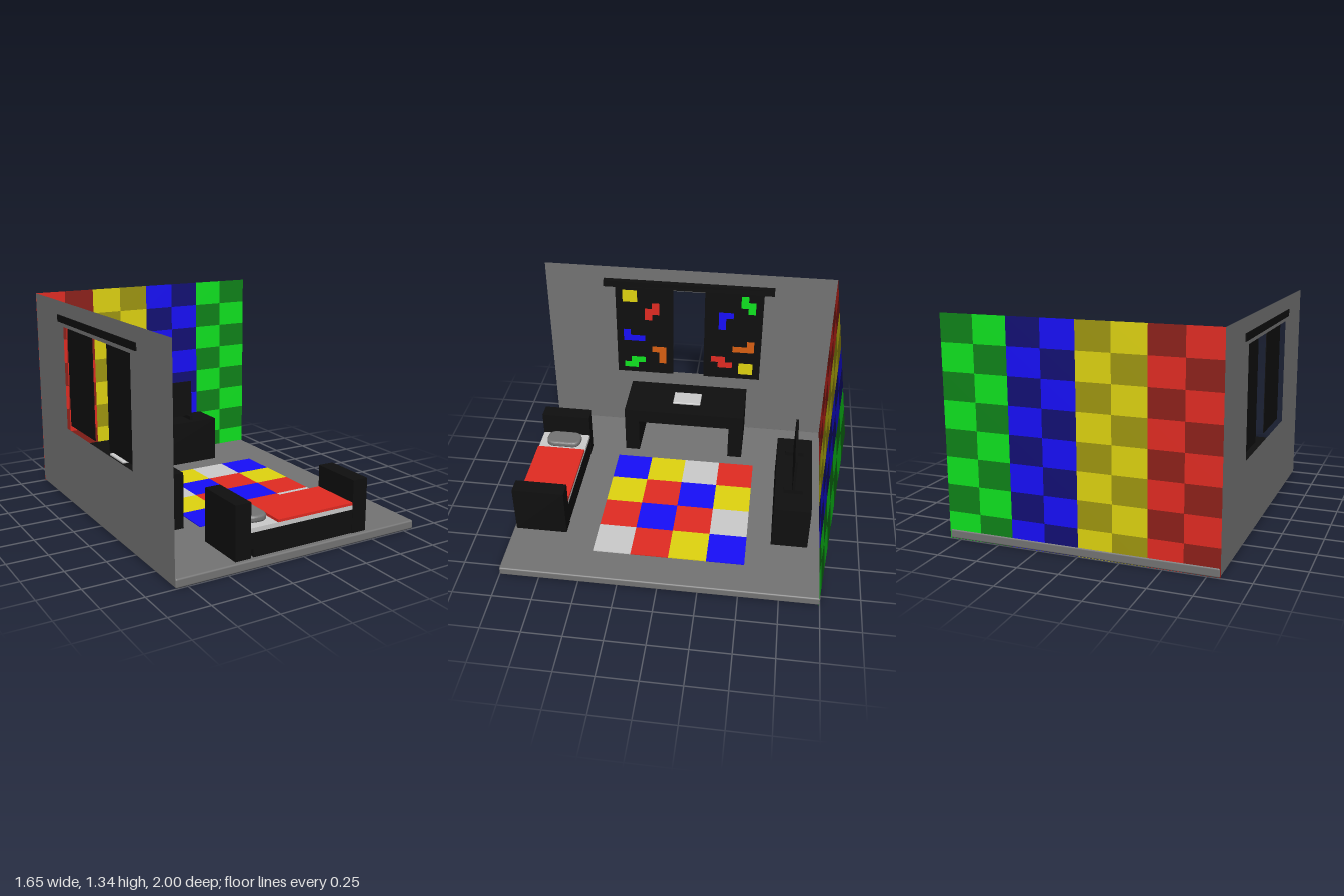
import * as THREE from 'three';
import { RoundedBoxGeometry } from 'three/addons/geometries/RoundedBoxGeometry.js';

const mat = (color) => new THREE.MeshStandardMaterial({ color, side: THREE.DoubleSide });
const M = {
  R: mat(0xe32b22), r: mat(0x8f2019), Y: mat(0xe0d40f), y: mat(0xa0970f),
  B: mat(0x170efa), b: mat(0x120f75), G: mat(0x0fe520), g: mat(0x0f8419),
  O: mat(0xd95f12), W: mat(0xcccccc), D: mat(0x747474), K: mat(0x0f0f0f),
};

function add(parent, name, geometry, key) {
  const mesh = new THREE.Mesh(geometry, M[key]);
  mesh.name = name;
  parent.add(mesh);
  return mesh;
}

// Box given by its extents on each axis
function box(parent, name, key, [x0, x1], [y0, y1], [z0, z1], radius = 0) {
  const size = [x1 - x0, y1 - y0, z1 - z0];
  const geo = radius ? new RoundedBoxGeometry(...size, 4, radius) : new THREE.BoxGeometry(...size);
  const mesh = add(parent, name, geo, key);
  mesh.position.set((x0 + x1) / 2, (y0 + y1) / 2, (z0 + z1) / 2);
  return mesh;
}

function group(parent, name) {
  const g = new THREE.Group();
  g.name = name;
  parent.add(g);
  return g;
}

export function createModel() {
  const room = new THREE.Group();
  room.name = 'bedroom';
  box(room, 'floor', 'D', [-0.822, 0.822], [0, 0.055], [-1, 1], 0.01);

  // Back wall: 8 x 8 checkered panels in four colours
  const backWall = group(room, 'backWall');
  const w = 1.65 / 8, h = 1.335 / 8;
  for (let row = 0; row < 8; row++) {
    for (let col = 0; col < 8; col++) {
      const key = 'RYBG'[col >> 1];
      const dark = (row + col) % 2 === 1;
      const panel = add(backWall, 'wallPanel', new THREE.PlaneGeometry(w, h), dark ? key.toLowerCase() : key);
      panel.position.set(-0.825 + (col + 0.5) * w, 1.335 - (row + 0.5) * h, -0.995);
    }
  }

  // Side wall with window opening (shape x runs along -z)
  const rect = (T, x0, x1, y0, y1) => {
    const s = new T();
    s.moveTo(x0, y0).lineTo(x1, y0).lineTo(x1, y1).lineTo(x0, y1).closePath();
    return s;
  };
  const wall = rect(THREE.Shape, -0.995, 0.995, 0.01, 1.335);
  wall.holes.push(rect(THREE.Path, -0.5, 0.5, 0.505, 1.175));
  const sideWall = add(room, 'sideWall', new THREE.ShapeGeometry(wall), 'D');
  sideWall.rotation.y = Math.PI / 2;
  sideWall.position.x = -0.824;

  // Curtains with block patterns: [colour, z of left edge, top y, rows]
  const curtains = group(room, 'curtains');
  box(curtains, 'curtainRail', 'K', [-0.83, -0.786], [1.2, 1.245], [-0.587, 0.583]);
  for (const z of [[0.1, 0.502], [-0.52, -0.118]]) {
    box(curtains, 'curtain', 'K', [-0.79, -0.786], [0.515, 1.2], z);
  }
  const cw = 0.0507, ch = 0.0453;
  const patterns = [
    ['Y', 0.453, 1.183, ['##', '##']],
    ['R', 0.299, 1.09, [' #', '##', '# ']],
    ['B', 0.453, 0.87, ['#  ', '###']],
    ['O', 0.252, 0.738, ['##', ' #', ' #']],
    ['G', 0.453, 0.645, [' ##', '## ']],
    ['G', -0.367, 1.185, ['# ', '##', ' #']],
    ['B', -0.217, 1.052, ['##', '# ', '# ']],
    ['O', -0.319, 0.828, ['  #', '###']],
    ['R', -0.169, 0.692, ['## ', ' ##']],
    ['Y', -0.367, 0.645, ['##', '##']],
  ];
  for (const [key, z, y, rows] of patterns) {
    rows.forEach((line, r) => [...line].forEach((c, i) => {
      if (c !== '#') return;
      const left = z - i * cw, top = y - r * ch;
      box(curtains, 'curtainPattern', key, [-0.787, -0.784], [top - ch, top], [left - cw, left]);
    }));
  }

  // Rug, back row first
  const rug = group(room, 'rug');
  const t = 0.965 / 4;
  ['RYWB', 'WBRY', 'YRBR', 'BYRW'].forEach((line, r) => [...line].forEach((key, c) => {
    const x = -0.365 + c * t, z = -0.525 + r * t;
    box(rug, 'rugSquare', key, [x, x + t], [0.05, 0.061], [z, z + t]);
  }));

  // Desk with kneehole
  const desk = group(room, 'desk');
  box(desk, 'deskTop', 'K', [-0.815, -0.455], [0.31, 0.405], [-0.435, 0.405]);
  box(desk, 'deskBack', 'K', [-0.815, -0.775], [0.055, 0.31], [-0.335, 0.305]);
  for (const z of [[-0.435, -0.335], [0.305, 0.405]]) {
    box(desk, 'deskSide', 'K', [-0.815, -0.455], [0.055, 0.31], z);
  }
  box(desk, 'notebook', 'W', [-0.695, -0.565], [0.405, 0.42], [-0.12, 0.075], 0.005);

  // Cabinet and television
  box(room, 'cabinet', 'K', [-0.325, 0.398], [0.055, 0.363], [-0.917, -0.683]);
  const tv = group(room, 'television');
  box(tv, 'screen', 'K', [-0.185, 0.255], [0.385, 0.64], [-0.806, -0.79]);
  for (const x of [-0.155, 0.225]) {
    box(tv, 'screenFoot', 'K', [x - 0.011, x + 0.011], [0.36, 0.39], [-0.86, -0.737]);
  }

  // Bed
  const bed = group(room, 'bed');
  const bz = [0.65, 0.978];
  box(bed, 'headboard', 'K', [-0.445, -0.345], [0.058, 0.387], [0.647, 0.98]);
  box(bed, 'footboard', 'K', [0.36, 0.46], [0.058, 0.387], [0.647, 0.98]);
  box(bed, 'bedFrame', 'K', [-0.345, 0.36], [0.11, 0.207], bz);
  box(bed, 'bedBase', 'K', [-0.325, 0.36], [0.06, 0.11], bz);
  box(bed, 'mattress', 'W', [-0.345, 0.36], [0.207, 0.234], bz);
  box(bed, 'blanket', 'R', [-0.165, 0.36], [0.234, 0.25], bz);

  // Pillow: rounded outline with a soft bevel
  const hx = 0.052, hz = 0.102, c = 0.045;
  const outline = new THREE.Shape();
  outline.moveTo(-hx + c, -hz).lineTo(hx - c, -hz).quadraticCurveTo(hx, -hz, hx, -hz + c)
    .lineTo(hx, hz - c).quadraticCurveTo(hx, hz, hx - c, hz)
    .lineTo(-hx + c, hz).quadraticCurveTo(-hx, hz, -hx, hz - c)
    .lineTo(-hx, -hz + c).quadraticCurveTo(-hx, -hz, -hx + c, -hz);
  const pillow = add(bed, 'pillow', new THREE.ExtrudeGeometry(outline, {
    depth: 0.012, bevelThickness: 0.015, bevelSize: 0.017, bevelSegments: 5, curveSegments: 8,
  }), 'D');
  pillow.rotation.x = -Math.PI / 2;
  pillow.position.set(-0.256, 0.248, 0.81);

  return room;
}
